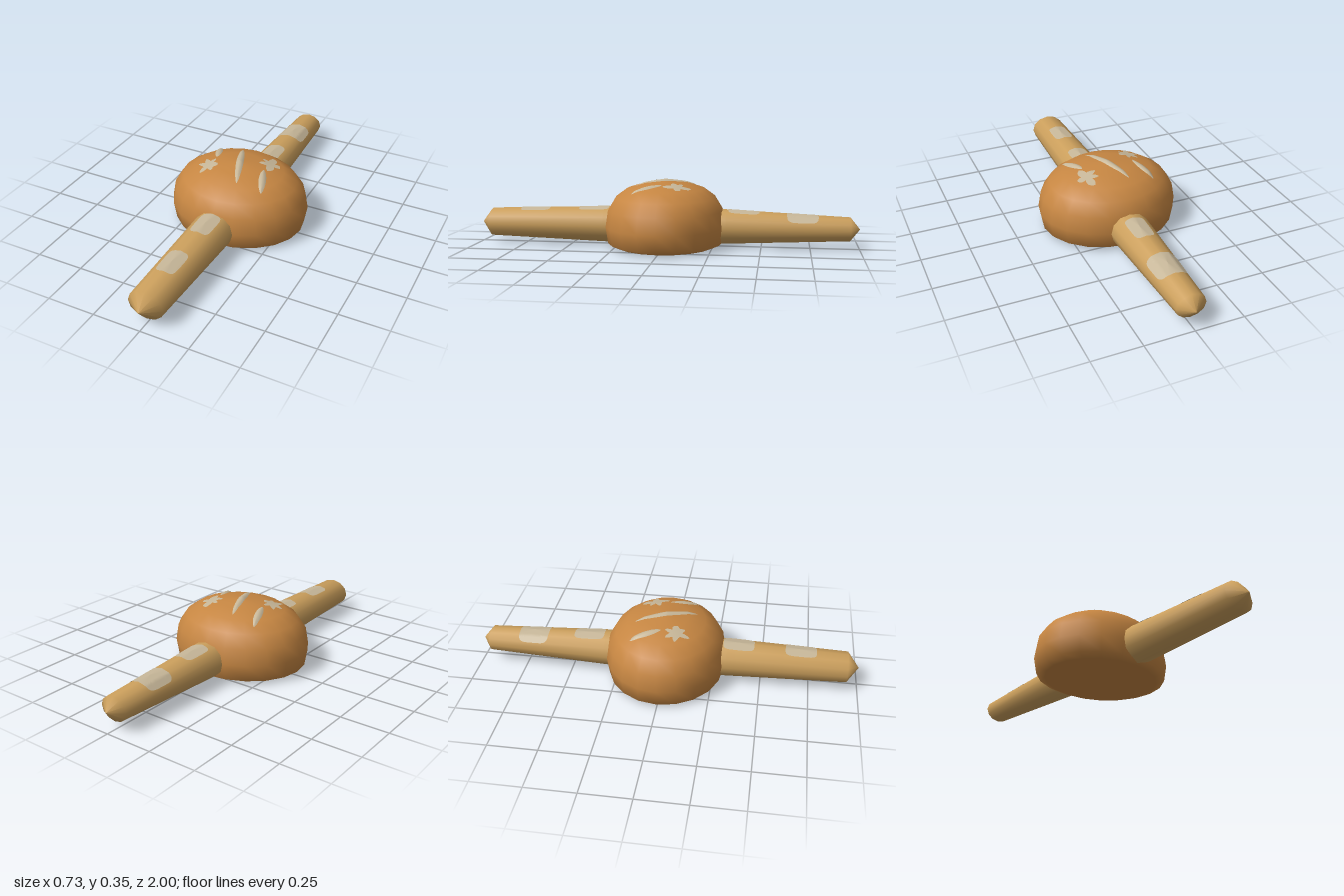
import * as THREE from 'three';

const BUN_X = 0.365, BUN_Z = 0.315, AXIS_Y = 0.104, SIDES = 12;
// bun profile: [relative radius, height]
const bunProfile = [[0, 0], [0.836, 0.002], [0.959, 0.02], [1, 0.105], [0.959, 0.19], [0.836, 0.255],
  [0.644, 0.3], [0.356, 0.329], [0, 0.34]];
// stick profile: [radius, z]
const stickProfile = [[0, -1], [0.076, -0.95], [0.101, -0.32], [0.107, 0], [0.106, 0.32], [0.092, 0.94], [0, 1]];

// piecewise-linear lookup, keys rising
function lookup(pairs, v) {
  for (let i = 1; i < pairs.length; i++) {
    const [k0, a] = pairs[i - 1], [k1, b] = pairs[i];
    if (v <= k1) return a + (b - a) * (v - k0) / (k1 - k0);
  }
  return pairs[pairs.length - 1][1];
}
const bunTop = bunProfile.slice(3).reverse();
const stickRadii = stickProfile.map(([r, z]) => [z, r]);
const squash = z => 0.94 - 0.13 * Math.abs(z);

// point on the bun's upper surface
function onBun(x, z, lift) {
  const r = Math.min(1, Math.hypot(x / BUN_X, z / BUN_Z));
  return [x, lookup(bunTop, r) + lift, z];
}
// point on the faceted stick; a is the angle from the top
function onStick(a, z, lift) {
  const step = Math.PI * 2 / SIDES;
  const inFacet = (((a % step) + step) % step) - step / 2;
  const r = lookup(stickRadii, z) * Math.cos(step / 2) / Math.cos(inFacet) + lift;
  return [Math.sin(a) * r, AXIS_Y + Math.cos(a) * r * squash(z), z];
}

// thin patch that follows a surface; outline(t) gives an offset from the centre
function patch(name, material, surface, cx, cz, outline, lift, bulge = 0) {
  const RINGS = 8, SEGS = 64, pos = [], idx = [];
  for (let i = 0; i <= RINGS; i++) {
    for (let j = 0; j < SEGS; j++) {
      const r = i / RINGS, [u, v] = outline(j / SEGS * Math.PI * 2);
      pos.push(...surface(cx + u * r, cz + v * r, lift + bulge * (1 - r * r)));
      if (i === RINGS) continue;
      const k = (j + 1) % SEGS, a = i * SEGS + j, b = i * SEGS + k;
      if (i > 0) idx.push(a, b, a + SEGS);
      idx.push(b, b + SEGS, a + SEGS);
    }
  }
  const g = new THREE.BufferGeometry();
  g.setAttribute('position', new THREE.Float32BufferAttribute(pos, 3));
  g.setIndex(idx);
  g.computeVertexNormals();
  const mesh = new THREE.Mesh(g, material);
  mesh.name = name;
  return mesh;
}

// rounded rectangle outline
const roundedBox = (w, h) => t => {
  const p = v => Math.sign(v) * Math.pow(Math.abs(v), 0.4);
  return [p(Math.cos(t)) * w, p(Math.sin(t)) * h];
};
// slim spindle outline between two points
const spindle = (dx, dz, width) => t => {
  const l = Math.hypot(dx, dz), c = Math.cos(t), s = Math.sin(t) * Math.abs(Math.sin(t)) ** 0.4 * width;
  return [c * dx - s * dz / l, c * dz + s * dx / l];
};
// ragged outline from a list of radii
const ragged = radii => t => {
  const f = t / (Math.PI * 2) * radii.length, i = Math.floor(f) % radii.length;
  const r = radii[i] + (radii[(i + 1) % radii.length] - radii[i]) * (f - Math.floor(f));
  return [Math.cos(t) * r, Math.sin(t) * r];
};

export function createModel() {
  const model = new THREE.Group();
  model.name = 'bread';
  const crust = new THREE.MeshStandardMaterial({ color: 0xc68642 });
  crust.name = 'brown crust';
  const paleCrust = new THREE.MeshStandardMaterial({ color: 0xcb9f5c });
  paleCrust.name = 'pale crust';
  const flour = new THREE.MeshStandardMaterial({ color: 0xc6b698, side: THREE.DoubleSide });
  flour.name = 'flour';

  // round bun
  const bunGeo = new THREE.LatheGeometry(bunProfile.map(([r, y]) => new THREE.Vector2(r, y)), 20);
  bunGeo.scale(BUN_X, 1, BUN_Z);
  const bun = new THREE.Mesh(bunGeo, crust);
  bun.name = 'bun';
  model.add(bun);

  // long stick loaf through the bun, slightly flattened toward its tips
  const stickGeo = new THREE.LatheGeometry(stickProfile.map(([r, z]) => new THREE.Vector2(r, z)), SIDES);
  stickGeo.rotateX(Math.PI / 2);
  const p = stickGeo.attributes.position;
  for (let i = 0; i < p.count; i++) p.setY(i, AXIS_Y + p.getY(i) * squash(p.getZ(i)));
  const stick = new THREE.Mesh(stickGeo, paleCrust);
  stick.name = 'stickLoaf';
  model.add(stick);

  // floury patches along the stick: [z, half angle, half length]
  for (const [z, a, h] of [[0.38, 0.52, 0.08], [0.7, 0.54, 0.08], [-0.41, 0.54, 0.08], [-0.71, 1.05, 0.08]])
    model.add(patch('stickFlour', flour, onStick, 0, z, roundedBox(a, h), 0.002));

  // scored slashes on the bun: [centre x, centre z, half dx, half dz]
  for (const [x, z, dx, dz] of [[0, 0, 0.058, 0.155], [-0.165, -0.085, 0.027, 0.075], [0.163, 0.075, 0.027, 0.075]])
    model.add(patch('slash', flour, onBun, x, z, spindle(dx, dz, 0.019), 0.002, 0.008));

  // ragged flour spots at the ends of the side slashes
  const left = [0.05, 0.035, 0.055, 0.03, 0.075, 0.03, 0.035, 0.06, 0.03, 0.065, 0.03, 0.06, 0.025, 0.045];
  const right = [0.055, 0.03, 0.055, 0.075, 0.03, 0.04, 0.06, 0.025, 0.06, 0.03, 0.075, 0.06, 0.025, 0.05];
  model.add(patch('leftFlourSpot', flour, onBun, -0.145, 0.068, ragged(left), 0.003));
  model.add(patch('rightFlourSpot', flour, onBun, 0.138, -0.075, ragged(right), 0.003));
  return model;
}
